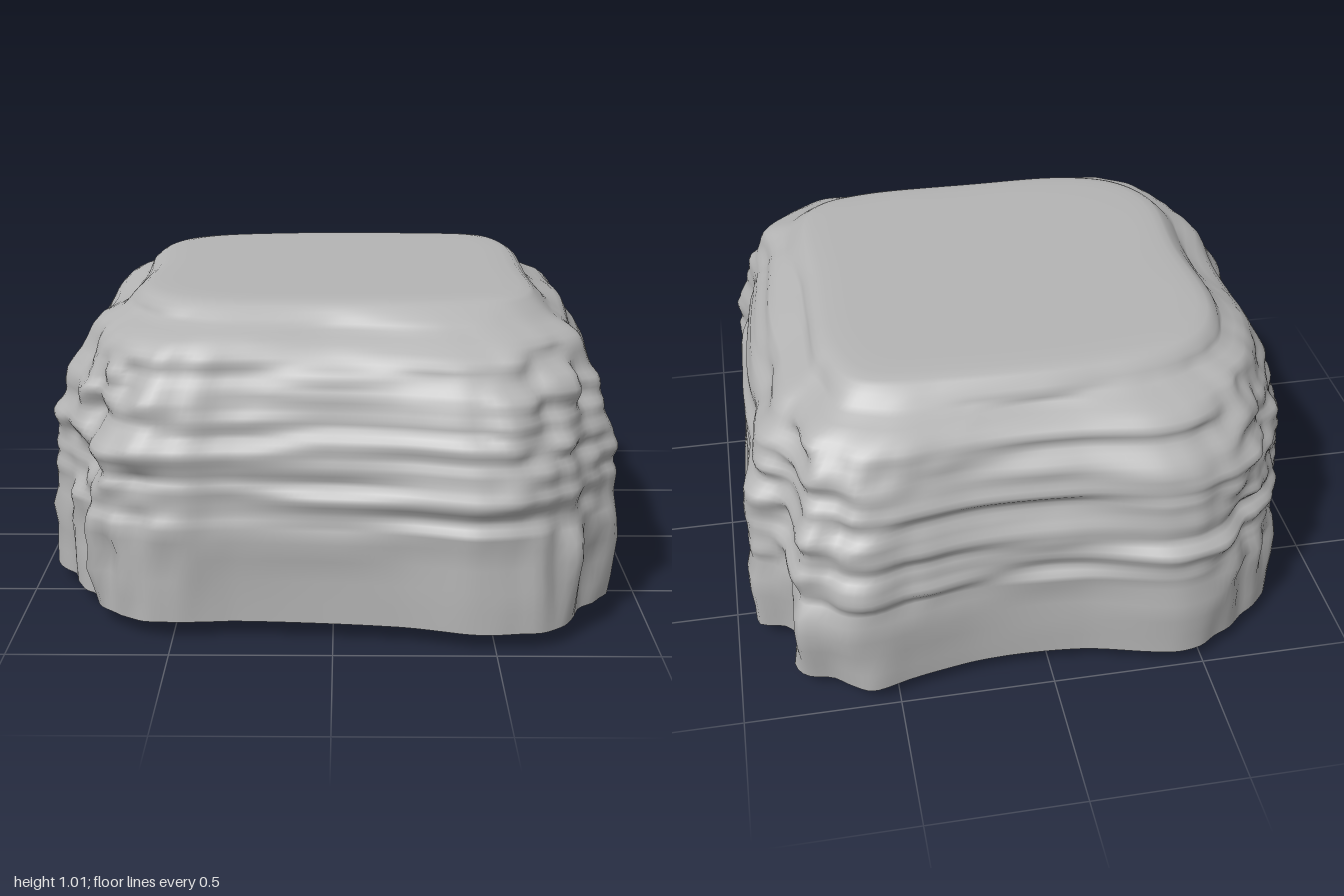
import * as THREE from 'three';

const SEG = 288;
const TAU = Math.PI * 2;

// Closed plan outline -> function giving its radius at an angle
function outline(points) {
  const curve = new THREE.CatmullRomCurve3(
    points.map(([x, z]) => new THREE.Vector3(x, 0, z)), true, 'centripetal');
  const polar = curve.getPoints(900)
    .map(p => [(Math.atan2(p.z, p.x) + TAU) % TAU, Math.hypot(p.x, p.z)])
    .sort((a, b) => a[0] - b[0]);
  return angle => {
    const i = polar.findIndex(p => p[0] >= angle);
    if (i <= 0) return polar[0][1];
    const [a, ra] = polar[i - 1], [b, rb] = polar[i];
    return THREE.MathUtils.lerp(ra, rb, (angle - a) / Math.max(b - a, 1e-6));
  };
}

const footOutline = outline([
  [-0.55, -0.96], [-0.42, -1], [-0.1, -0.93], [0.2, -0.92], [0.45, -0.96], [0.6, -0.99],
  [0.72, -0.92], [0.8, -0.88], [0.84, -0.66], [0.93, -0.6], [0.92, -0.3], [0.93, -0.15],
  [0.91, 0.3], [0.88, 0.5], [0.9, 0.67], [0.82, 0.73], [0.71, 0.91], [0.5, 0.98],
  [0.2, 0.92], [-0.3, 0.88], [-0.55, 0.89], [-0.75, 0.79], [-0.79, 0.68], [-0.88, 0.5],
  [-0.95, 0.38], [-0.92, 0.1], [-0.92, -0.4], [-0.87, -0.5], [-0.81, -0.7], [-0.74, -0.8]]);

const crownOutline = outline([
  [-0.5, -0.58], [-0.15, -0.66], [0.3, -0.66], [0.54, -0.62], [0.62, -0.45], [0.63, 0],
  [0.63, 0.4], [0.56, 0.52], [0.4, 0.57], [0, 0.58], [-0.35, 0.57], [-0.52, 0.5],
  [-0.61, 0.36], [-0.61, 0], [-0.61, -0.42]]);

// Smooth repeatable noise on a lattice, periodic in u
function hash(i, j) {
  const s = Math.sin(i * 127.1 + j * 311.7) * 43758.5453;
  return (s - Math.floor(s)) * 2 - 1;
}
function noise(u, v, period) {
  const i = Math.floor(u), j = Math.floor(v);
  const ease = t => t * t * (3 - 2 * t);
  const a = ease(u - i), b = ease(v - j);
  const i0 = i % period, i1 = (i + 1) % period;
  const lerp = THREE.MathUtils.lerp;
  return lerp(lerp(hash(i0, j), hash(i1, j), a), lerp(hash(i0, j + 1), hash(i1, j + 1), a), b);
}

// Wall profile: height, spread from crown outline (0) to foot outline (1)
const profile = [
  [0.055, 0.98], [0.2, 0.985], [0.32, 0.98], [0.42, 0.96], [0.47, 0.97], [0.5, 0.92],
  [0.56, 0.93], [0.6, 0.92], [0.63, 0.86], [0.66, 0.82], [0.69, 0.83], [0.72, 0.8],
  [0.77, 0.77], [0.79, 0.71], [0.82, 0.65], [0.87, 0.57], [0.905, 0.46], [0.92, 0.34],
  [0.935, 0.22], [0.965, 0.15], [0.99, 0.08], [1.005, 0], [1.012, -0.12]];
function spreadAt(y) {
  let k = 1;
  while (k < profile.length - 1 && profile[k][0] < y) k++;
  const [y0, w0] = profile[k - 1], [y1, w1] = profile[k];
  return THREE.MathUtils.lerp(w0, w1, (y - y0) / (y1 - y0));
}

// Precomputed plan data for every angle
const plan = Array.from({ length: SEG }, (_, k) => {
  const angle = k / SEG * TAU;
  return {
    angle, u: k / SEG, foot: footOutline(angle), crown: crownOutline(angle),
    corner: Math.pow(Math.abs(Math.sin(2 * angle)), 6),
  };
});

// Point on the weathered wall at a given height
function wallPoint(p, y) {
  const fade = THREE.MathUtils.smoothstep(y, 0.055, 0.4) * (1 - THREE.MathUtils.smoothstep(y, 0.93, 1.01));
  const strata = y + 0.03 * fade * noise(p.u * 12, 3.5, 12);
  let r = THREE.MathUtils.lerp(p.crown, p.foot, spreadAt(strata));
  r += 0.018 * fade * noise(p.u * 16, y * 22, 16);
  const lower = 1 - THREE.MathUtils.smoothstep(y, 0.8, 1);
  r += p.corner * lower * (0.025 * noise(p.u * 96, y * 4, 96) + 0.028 * fade * noise(p.u * 72, y * 16 + 40, 72));
  return [r * Math.cos(p.angle), y, r * Math.sin(p.angle)];
}

// Skin a stack of rings, each listed from low to high
function skin(rings) {
  const index = [];
  for (let j = 0; j < rings.length - 1; j++) {
    for (let k = 0; k < SEG; k++) {
      const n = (k + 1) % SEG;
      const a = j * SEG + k, b = j * SEG + n, c = a + SEG, d = b + SEG;
      index.push(a, c, b, b, c, d);
    }
  }
  const geometry = new THREE.BufferGeometry();
  geometry.setAttribute('position', new THREE.Float32BufferAttribute(rings.flat(2), 3));
  geometry.setIndex(index);
  geometry.computeVertexNormals();
  return geometry;
}

export function createModel() {
  const group = new THREE.Group();
  group.name = 'rock';
  const stone = new THREE.MeshStandardMaterial({ color: 0xb4b4b4 });
  stone.name = 'grey stone';
  const add = (name, rings) => {
    const mesh = new THREE.Mesh(skin(rings), stone);
    mesh.name = name;
    group.add(mesh);
  };

  // Layered wall rising to the rounded crown edge
  const heights = [0.055, 0.12, 0.19, 0.26, 0.32];
  for (let y = 0.36; y < 1; y += 0.0155) heights.push(y);
  heights.push(1.005);
  const wall = heights.map(y => plan.map(p => wallPoint(p, y)));

  // Nearly flat crown closing over the top
  const crown = [[0.95, 1.011], [0.85, 1.014], [0.5, 1.015], [0, 1.015]].map(([s, y]) =>
    plan.map(p => [p.crown * s * Math.cos(p.angle), y, p.crown * s * Math.sin(p.angle)]));
  add('weatheredBody', [...wall, ...crown]);

  // Shallow bevel under the wall
  const rim = wall[0];
  const sole = plan.map(p => {
    const r = p.crown * 1.06;
    return [r * Math.cos(p.angle), 0, r * Math.sin(p.angle)];
  });
  add('undersideBevel', [sole, rim]);

  // Flat sole
  add('sole', [plan.map(() => [0, 0, 0]), sole]);
  return group;
}
